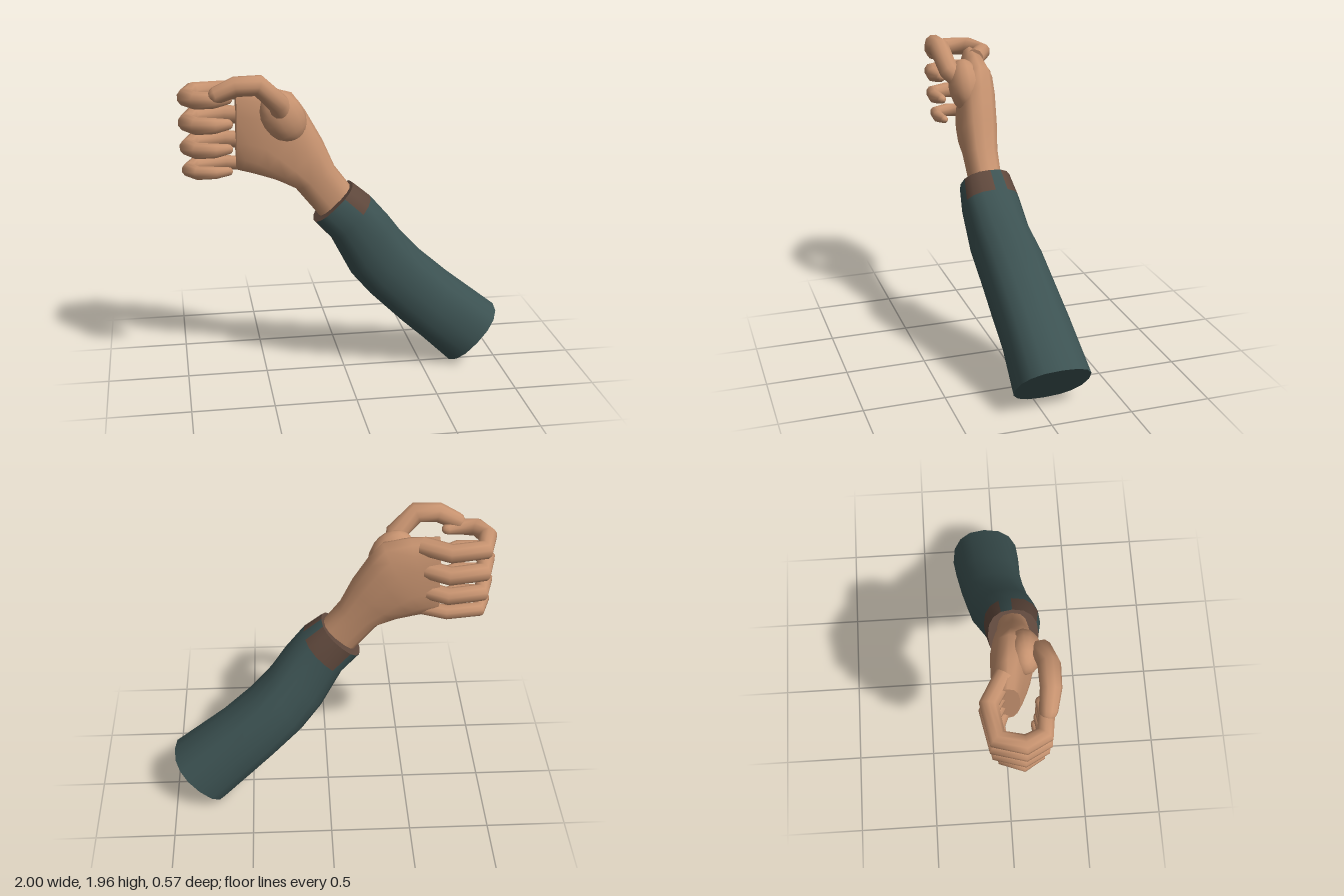
import * as THREE from 'three';

const skin = new THREE.MeshStandardMaterial({ color: 0xc6926f });
skin.name = 'skin';
const cloth = new THREE.MeshStandardMaterial({ color: 0x3c5252 });
cloth.name = 'tealCloth';
const lining = new THREE.MeshStandardMaterial({ color: 0x5f483c });
lining.name = 'brownCuff';

// Smooth closed skin over equal-sized rings; faceMat picks a material slot per quad
function loft(name, rings, materials, { faceMat = () => 0, capMats = [0, 0] } = {}) {
  const n = rings[0].length;
  const pts = rings.flat();
  const lists = materials.map(() => []);
  for (let i = 0; i < rings.length - 1; i++) {
    for (let j = 0; j < n; j++) {
      const a = i * n + j, b = i * n + (j + 1) % n;
      lists[faceMat(i, j)].push(a, b, a + n, b, b + n, a + n);
    }
  }
  // Flat end caps with their own vertices
  [0, rings.length - 1].forEach((r, end) => {
    const start = pts.length;
    const centre = new THREE.Vector3();
    rings[r].forEach(p => { centre.addScaledVector(p, 1 / n); pts.push(p); });
    pts.push(centre);
    for (let j = 0; j < n; j++) {
      const a = start + j, b = start + (j + 1) % n;
      if (end) lists[capMats[1]].push(start + n, a, b);
      else lists[capMats[0]].push(start + n, b, a);
    }
  });
  // Turn the faces outward
  let volume = 0;
  const cross = new THREE.Vector3();
  for (const l of lists) {
    for (let k = 0; k < l.length; k += 3) {
      volume += pts[l[k]].dot(cross.crossVectors(pts[l[k + 1]], pts[l[k + 2]]));
    }
  }
  if (volume < 0) lists.forEach(l => l.reverse());

  const geo = new THREE.BufferGeometry().setFromPoints(pts);
  geo.setIndex(lists.flat());
  let offset = 0;
  lists.forEach((l, m) => { geo.addGroup(offset, l.length, m); offset += l.length; });
  geo.computeVertexNormals();
  const mesh = new THREE.Mesh(geo, materials.length > 1 ? materials : materials[0]);
  mesh.name = name;
  return mesh;
}

// Rounded section from upper point, lower point and depth range
function section([ux, uy, lx, ly, z0, z1], n, power) {
  const soft = v => Math.sign(v) * Math.abs(v) ** power;
  return Array.from({ length: n }, (_, j) => {
    const t = j / n * Math.PI * 2;
    const c = soft(Math.cos(t)) / 2, s = soft(Math.sin(t)) / 2;
    return new THREE.Vector3(
      (ux + lx) / 2 + (ux - lx) * c,
      (uy + ly) / 2 + (uy - ly) * c,
      (z0 + z1) / 2 + (z1 - z0) * s);
  });
}

// Jointed digit along [x, y, z, radius] points, closed by a rounded tip
function digit(name, path, ref, n = 10) {
  const pts = path.map(p => new THREE.Vector3(p[0], p[1], p[2]));
  const last = pts.length - 1;
  const dir = pts[last].clone().sub(pts[last - 1]).normalize();
  const radii = path.map(p => p[3]);
  const r = radii[last];
  for (const [along, size] of [[0.45, 0.87], [0.8, 0.55], [0.95, 0.2]]) {
    pts.push(pts[last].clone().addScaledVector(dir, r * along));
    radii.push(r * size);
  }
  const rings = pts.map((p, i) => {
    const tangent = pts[Math.min(i + 1, pts.length - 1)].clone().sub(p).normalize();
    if (i > 0) tangent.add(p.clone().sub(pts[i - 1]).normalize()).normalize();
    const side = new THREE.Vector3().crossVectors(tangent, ref).normalize();
    const up = new THREE.Vector3().crossVectors(side, tangent);
    return Array.from({ length: n }, (_, j) => {
      const t = j / n * Math.PI * 2;
      return p.clone().addScaledVector(up, radii[i] * Math.cos(t))
        .addScaledVector(side, radii[i] * Math.sin(t));
    });
  });
  return loft(name, rings, [skin]);
}

export function createModel() {
  const arm = new THREE.Group();
  arm.name = 'arm';

  // Sleeve, with a brown cuff showing between teal tabs
  const sleeveRings = [
    [0.04, 1.26, -0.2, 1.03, -0.09, 0.22],
    [0.15, 1.17, -0.09, 0.91, -0.11, 0.24],
    [0.27, 1.03, 0.04, 0.66, -0.14, 0.225],
    [0.36, 0.91, 0.17, 0.5, -0.19, 0.2],
    [0.49, 0.77, 0.36, 0.31, -0.225, 0.18],
    [0.67, 0.61, 0.5, 0.18, -0.255, 0.165],
    [1.0, 0.35, 0.68, 0.005, -0.29, 0.17],
  ].map(s => section(s, 16, 0.85));
  const tabs = [3, 4, 5, 6, 9, 10, 15];
  arm.add(loft('sleeve', sleeveRings, [cloth, lining], {
    faceMat: (i, j) => (i === 0 && !tabs.includes(j) ? 1 : 0),
    capMats: [1, 0],
  }));

  // Wrist widening into the palm
  const hand = new THREE.Group();
  hand.name = 'hand';
  arm.add(hand);
  const palmRings = [
    [0.06, 1.2, -0.14, 1.02, -0.03, 0.16],
    [0.02, 1.25, -0.18, 1.08, -0.035, 0.16],
    [-0.07, 1.37, -0.31, 1.24, -0.045, 0.165],
    [-0.14, 1.53, -0.42, 1.29, -0.07, 0.17],
    [-0.24, 1.71, -0.52, 1.32, -0.09, 0.155],
    [-0.32, 1.82, -0.58, 1.335, -0.095, 0.13],
    [-0.48, 1.86, -0.63, 1.345, -0.09, 0.095],
    [-0.65, 1.875, -0.66, 1.35, -0.085, 0.06],
  ].map(s => section(s, 14, 0.8));
  hand.add(loft('palm', palmRings, [skin]));

  // Muscle at the root of the thumb
  const mound = new THREE.Mesh(new THREE.SphereGeometry(1, 14, 10), skin);
  mound.name = 'thumbMound';
  mound.scale.set(0.13, 0.17, 0.1);
  mound.position.set(-0.38, 1.69, 0.1);
  mound.rotation.z = 0.5;
  hand.add(mound);

  // Four curled fingers: height, radius and curl depth
  const curl = [
    [-0.55, -0.02, 1], [-0.71, -0.115, 1], [-0.905, -0.08, 1.02],
    [-0.945, 0.07, 1], [-0.895, 0.175, 0.95], [-0.79, 0.19, 0.85], [-0.715, 0.165, 0.6],
  ];
  [
    ['indexFinger', 1.822, 0.056, 1],
    ['middleFinger', 1.672, 0.056, 1.03],
    ['ringFinger', 1.522, 0.052, 0.95],
    ['littleFinger', 1.383, 0.044, 0.72],
  ].forEach(([name, y, r, depth]) => {
    const path = curl.map(([x, z, k]) => {
      const bent = 0.05 + (z - 0.05) * (z < 0.05 ? depth : 0.4 + depth * 0.6);
      return [x, y, bent, r * k];
    });
    hand.add(digit(name, path, new THREE.Vector3(0, 1, 0)));
  });

  // Thumb arching over the index finger
  hand.add(digit('thumb', [
    [-0.395, 1.7, 0.11, 0.06],
    [-0.415, 1.79, 0.195, 0.064],
    [-0.535, 1.908, 0.22, 0.064],
    [-0.665, 1.905, 0.22, 0.06],
    [-0.775, 1.855, 0.2, 0.052],
  ], new THREE.Vector3(0, 0, 1)));

  return arm;
}
